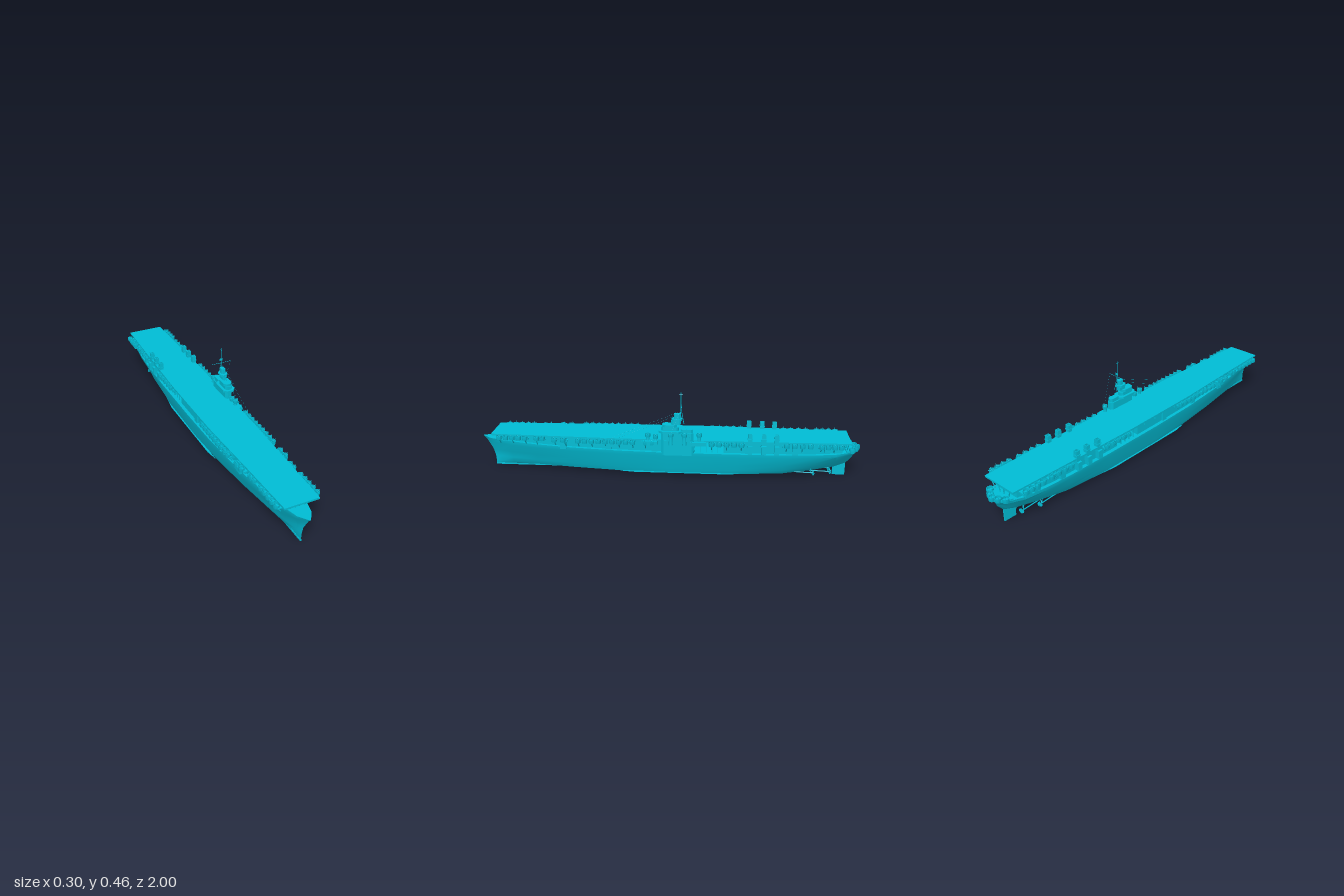
import * as THREE from 'three';
import { toCreasedNormals } from 'three/addons/utils/BufferGeometryUtils.js';

const CX = -0.012; // centreline of the hull
const mat = new THREE.MeshStandardMaterial({ color: 0x00bcd4, side: THREE.DoubleSide });

export function createModel() {
  const ship = new THREE.Group();
  ship.name = 'aircraftCarrier';

  const add = (name, geo, x = 0, y = 0, z = 0, parent = ship) => {
    const m = new THREE.Mesh(geo, mat);
    m.name = name;
    m.position.set(x, y, z);
    parent.add(m);
    return m;
  };
  // box given by its limits
  const block = (name, x0, x1, y0, y1, z0, z1, parent) =>
    add(name, new THREE.BoxGeometry(Math.abs(x1 - x0), y1 - y0, Math.abs(z1 - z0)),
      (x0 + x1) / 2, (y0 + y1) / 2, (z0 + z1) / 2, parent);
  // plan outline of [x, z] points, extruded down from yTop
  const slab = (name, pts, yTop, depth, parent) => {
    const s = new THREE.Shape(pts.map(p => new THREE.Vector2(p[0], p[1])));
    const g = new THREE.ExtrudeGeometry(s, { depth, bevelEnabled: false });
    return add(name, g.rotateX(Math.PI / 2), 0, yTop, 0, parent);
  };
  // thin round bar between two points
  const rod = (name, a, b, r, parent) => {
    const A = new THREE.Vector3(...a), B = new THREE.Vector3(...b);
    const m = add(name, new THREE.CylinderGeometry(r, r, A.distanceTo(B), 6), 0, 0, 0, parent);
    m.position.copy(A).lerp(B, 0.5);
    m.quaternion.setFromUnitVectors(new THREE.Vector3(0, 1, 0), B.sub(A).normalize());
    return m;
  };
  // open-topped gun tub with a barrel
  const tub = (name, x, y, z, r, h, side, parent) => {
    const pts = [[0, 0], [r * 0.9, 0], [r, h * 0.3], [r, h], [r * 0.9, h], [r * 0.9, h * 0.4], [0, h * 0.4]];
    const g = new THREE.LatheGeometry(pts.map(p => new THREE.Vector2(p[0], p[1])), 12);
    add(name, toCreasedNormals(g, 0.6), x, y, z, parent);
    rod('gunBarrel', [x, y + h * 0.4, z], [x + side * r, y + h + 0.006, z], 0.0012, parent);
  };

  // Hull: zTop, zKeel, yTop, yKeel, half breadth at top, middle, bilge
  const stations = [
    [1.0, 0.94, 0.168, 0.01, 0.002, 0.001, 0.001],
    [0.95, 0.91, 0.165, 0.01, 0.036, 0.01, 0.004],
    [0.85, 0.84, 0.162, 0.01, 0.062, 0.028, 0.012],
    [0.7, 0.7, 0.156, 0.01, 0.085, 0.052, 0.03],
    [0.5, 0.5, 0.15, 0.009, 0.102, 0.078, 0.055],
    [0.25, 0.25, 0.145, 0.008, 0.115, 0.096, 0.078],
    [0, 0, 0.142, 0.007, 0.118, 0.101, 0.088],
    [-0.35, -0.35, 0.142, 0.007, 0.118, 0.1, 0.084],
    [-0.6, -0.6, 0.142, 0.01, 0.113, 0.09, 0.06],
    [-0.75, -0.75, 0.143, 0.022, 0.104, 0.075, 0.032],
    [-0.87, -0.87, 0.146, 0.042, 0.09, 0.055, 0.015],
    [-0.95, -0.93, 0.15, 0.065, 0.064, 0.035, 0.008],
    [-0.985, -0.96, 0.15, 0.1, 0.036, 0.022, 0.005],
  ];
  const pos = [], idx = [];
  for (const [zt, zk, yt, yk, top, mid, bot] of stations) {
    const half = [[0, 0], [0.08, bot], [0.28, bot * 0.35 + mid * 0.65], [0.5, mid], [0.85, top * 0.98], [1, top]];
    const ring = [...half.slice(1).reverse().map(([t, w]) => [t, -w]), ...half];
    for (const [t, w] of ring) pos.push(CX + w, yk + (yt - yk) * t, zk + (zt - zk) * Math.pow(t, 2.5));
  }
  const N = 11;
  for (let i = 0; i < stations.length - 1; i++)
    for (let j = 0; j < N; j++) {
      const a = i * N + j, b = i * N + (j + 1) % N;
      idx.push(a, a + N, b + N, a, b + N, b);
    }
  const last = (stations.length - 1) * N;
  for (let k = 1; k < N - 1; k++) idx.push(last, last + k + 1, last + k);
  const hull = new THREE.BufferGeometry();
  hull.setAttribute('position', new THREE.Float32BufferAttribute(pos, 3));
  hull.setIndex(idx);
  add('hull', toCreasedNormals(hull, 0.6));

  // Flight deck, with the hangar below it open amidships
  slab('flightDeck', [[-0.1, 0.93], [-0.112, 0.6], [-0.127, 0.25], [-0.13, -0.2], [-0.12, -0.6], [-0.11, -0.94],
    [0.087, -0.94], [0.093, -0.6], [0.098, -0.2], [0.095, 0.3], [0.086, 0.6], [0.076, 0.93]], 0.21, 0.009);
  const hangar = (z0, w0, z1, w1, y0 = 0.135) => slab('hangarWall',
    [[CX - w0, z0], [CX - w1, z1], [CX + w1, z1], [CX + w0, z0]], 0.202, 0.202 - y0);
  hangar(0.86, 0.05, 0.6, 0.08);
  hangar(0.6, 0.08, 0.25, 0.098);
  hangar(0.25, 0.098, -0.14, 0.1);
  hangar(-0.29, 0.098, -0.7, 0.092);
  hangar(-0.7, 0.092, -0.9, 0.07);

  for (const s of [-1, 1]) {
    const X = h => CX + s * h;
    // Pillars of the open bay, and ribs and lockers along the hangar
    for (let i = 0; i < 4; i++) block('bayPillar', X(0.094), X(0.1), 0.14, 0.203, -0.17 - i * 0.03, -0.173 - i * 0.03);
    for (let i = 0; i < 17; i++) {
      const z = 0.56 - i * 0.08;
      if (z > -0.13 || z < -0.3) block('hangarRib', X(0.08), X(0.108), i % 3 ? 0.18 : 0.142, 0.203, z, z - (i % 3 ? 0.012 : 0.03));
    }
    // Props under the overhanging deck ends
    for (const h of [0.012, 0.042]) {
      rod('bowProp', [X(h * 0.8), 0.16, 0.89], [X(h * 1.6), 0.203, 0.915], 0.003);
      rod('sternProp', [X(h), 0.145, -0.925], [X(h * 1.6), 0.203, -0.93], 0.003);
    }
    block('bowLocker', X(0.03), X(0.06), 0.16, 0.203, 0.84, 0.88);

    // Side galleries lined with gun tubs: z from, z to, inner and outer half breadth
    const runs = [[0.9, 0.73, 0.08, 0.104], [0.7, 0.64, 0.09, 0.104], [0.61, 0.52, 0.088, 0.118],
      [0.48, 0.16, 0.1, 0.124], [-0.21, -0.4, 0.1, 0.124], [-0.59, -0.75, 0.096, 0.118], [-0.77, -0.9, 0.085, 0.122]];
    if (s > 0) runs.push([0.13, 0.06, 0.1, 0.122]);
    for (const [z0, z1, xi, xo] of runs) {
      const g = new THREE.Group();
      g.name = 'gunGallery';
      ship.add(g);
      block('galleryFloor', X(xi), X(xo), 0.186, 0.191, z0, z1, g);
      block('galleryRail', X(xo), X(xo - 0.002), 0.19, 0.202, z0, z1, g);
      const n = Math.max(2, Math.round((z0 - z1) / 0.036)), step = (z0 - z1) / n;
      for (let i = 0; i < n; i++) {
        const z = z0 - step * (i + 0.5);
        tub('gunTub', X(xo - 0.003), 0.185, z, 0.015, 0.021, s, g);
        if (i % 2 === 0) rod('galleryBracket', [X(xi - 0.002), 0.158, z], [X(xo), 0.187, z], 0.003, g);
      }
    }
    // Heavy gun sponsons near the bow and stern corners
    for (const z of [0.55, -0.82, -0.87]) {
      block('sponson', X(0.08), X(0.12), 0.165, 0.188, z - 0.018, z + 0.018);
      rod('heavyGun', [X(0.115), 0.197, z], [X(0.128), 0.202, z + 0.03 * Math.sign(z)], 0.002);
    }

    // Three square upright funnels per side
    for (const z of [-0.425, -0.495, -0.56]) {
      const o = 0.011, k = 0.008, x = X(0.1);
      const sh = new THREE.Shape([[-o, -o], [o, -o], [o, o], [-o, o]].map(p => new THREE.Vector2(...p)));
      sh.holes.push(new THREE.Path([[-k, -k], [-k, k], [k, k], [k, -k]].map(p => new THREE.Vector2(...p))));
      add('funnel', new THREE.ExtrudeGeometry(sh, { depth: 0.06, bevelEnabled: false }).rotateX(Math.PI / 2), x, 0.248, z);
      block('funnelDuct', X(0.09), X(0.122), 0.145, 0.19, z - 0.012, z + 0.012);
      block('funnelCollar', X(0.088), X(0.114), 0.222, 0.226, z - 0.013, z + 0.013);
    }

    // Bilge keel, propeller shafts and screws
    slab('bilgeKeel', [[X(0.083), 0.25], [X(0.094), 0.18], [X(0.094), -0.3], [X(0.08), -0.4]], 0.022, 0.003);
    for (const [h, z] of [[0.026, -0.85], [0.05, -0.76]]) {
      rod('propellerShaft', [X(h), 0.024, z], [X(h * 0.95), 0.03, z + 0.17], 0.003);
      rod('shaftStrut', [X(h), 0.024, z + 0.01], [X(h * 0.5), 0.06, z + 0.02], 0.002);
      rod('shaftStrut', [X(h), 0.024, z + 0.01], [X(h * 1.1), 0.075, z + 0.02], 0.002);
      for (let b = 0; b < 4; b++) {
        const p = add('propellerBlade', new THREE.BoxGeometry(0.006, 0.026, 0.002), X(h), 0.024, z);
        p.rotation.set(0, 0.4, b * Math.PI / 4);
      }
    }
  }
  block('keel', CX - 0.003, CX + 0.003, 0.003, 0.012, 0.94, -0.62);
  block('rudder', CX - 0.004, CX + 0.004, 0, 0.07, -0.865, -0.93);

  // Stern gallery
  slab('sternPlatform', [[CX - 0.07, -0.92], [CX - 0.064, -0.955], [CX - 0.025, -0.985],
    [CX + 0.025, -0.985], [CX + 0.064, -0.955], [CX + 0.07, -0.92]], 0.156, 0.01);
  for (const [x, z] of [[0, -0.982], [-0.028, -0.97], [0.028, -0.97], [-0.056, -0.95], [0.056, -0.95]])
    tub('sternTub', CX + x, 0.145, z, 0.017, 0.023, 0);

  // Island
  const island = new THREE.Group();
  island.name = 'island';
  ship.add(island);
  // fore-and-aft hull-shaped storey
  const storey = (name, x0, x1, z0, z1, y0, y1) => {
    const m = (x0 + x1) / 2, c = (x1 - x0) * 0.3, w = (x1 - x0) * 0.25;
    slab(name, [[x0, z0 - c], [m - w, z0], [m + w, z0], [x1, z0 - c],
      [x1, z1 + c], [m + w, z1], [m - w, z1], [x0, z1 + c]], y1, y1 - y0, island);
  };
  storey('islandBase', 0.072, 0.112, 0.03, -0.138, 0.13, 0.21);
  storey('islandHouse', 0.073, 0.111, 0.03, -0.135, 0.21, 0.25);
  storey('funnelCasing', 0.078, 0.106, -0.07, -0.132, 0.25, 0.27);
  storey('bridgeDeck', 0.058, 0.125, 0.042, -0.08, 0.252, 0.263);
  storey('bridge', 0.072, 0.11, 0.03, -0.06, 0.263, 0.282);
  storey('bridgeWing', 0.067, 0.113, 0.025, -0.05, 0.282, 0.295);
  storey('controlHouse', 0.08, 0.104, -0.02, -0.07, 0.295, 0.315);
  storey('lookoutPlatform', 0.071, 0.111, -0.022, -0.075, 0.315, 0.326);
  storey('director', 0.08, 0.103, -0.035, -0.068, 0.326, 0.352);
  for (const [x, y, z] of [[0.092, 0.222, 0.1], [0.092, 0.215, 0.06], [0.092, 0.228, -0.165], [0.118, 0.235, -0.02], [0.118, 0.235, -0.09]]) {
    tub('islandTub', x, y, z, 0.014, 0.018, 1, island);
    add('tubStand', new THREE.CylinderGeometry(0.008, 0.011, y - 0.19, 10), x, (y + 0.19) / 2, z, island);
  }
  for (const z of [0.09, -0.16]) block('islandSponson', 0.08, 0.118, 0.186, 0.205, z - 0.04, z + 0.04, island);

  // Mast, yard, radar and rigging
  rod('mast', [0.092, 0.33, -0.07], [0.092, 0.463, -0.07], 0.0015, island);
  for (const dx of [-0.008, 0.008]) rod('mastLeg', [0.092 + dx, 0.3, -0.085], [0.092, 0.385, -0.07], 0.0012, island);
  rod('yard', [0.037, 0.375, -0.07], [0.147, 0.375, -0.07], 0.001, island);
  block('radar', 0.084, 0.1, 0.386, 0.398, -0.073, -0.075, island);
  rod('mastSpreader', [0.092, 0.452, -0.061], [0.092, 0.452, -0.079], 0.001, island);
  for (const [a, b] of [[[0.147, 0.375, -0.07], [0.135, 0.2, -0.13]], [[0.092, 0.375, -0.07], [0.147, 0.25, -0.02]],
    [[0.092, 0.36, -0.06], [0.1, 0.21, 0.3]], [[0.08, 0.34, -0.05], [0.09, 0.21, 0.25]]])
    rod('rigging', a, b, 0.0003, island);

  return ship;
}
